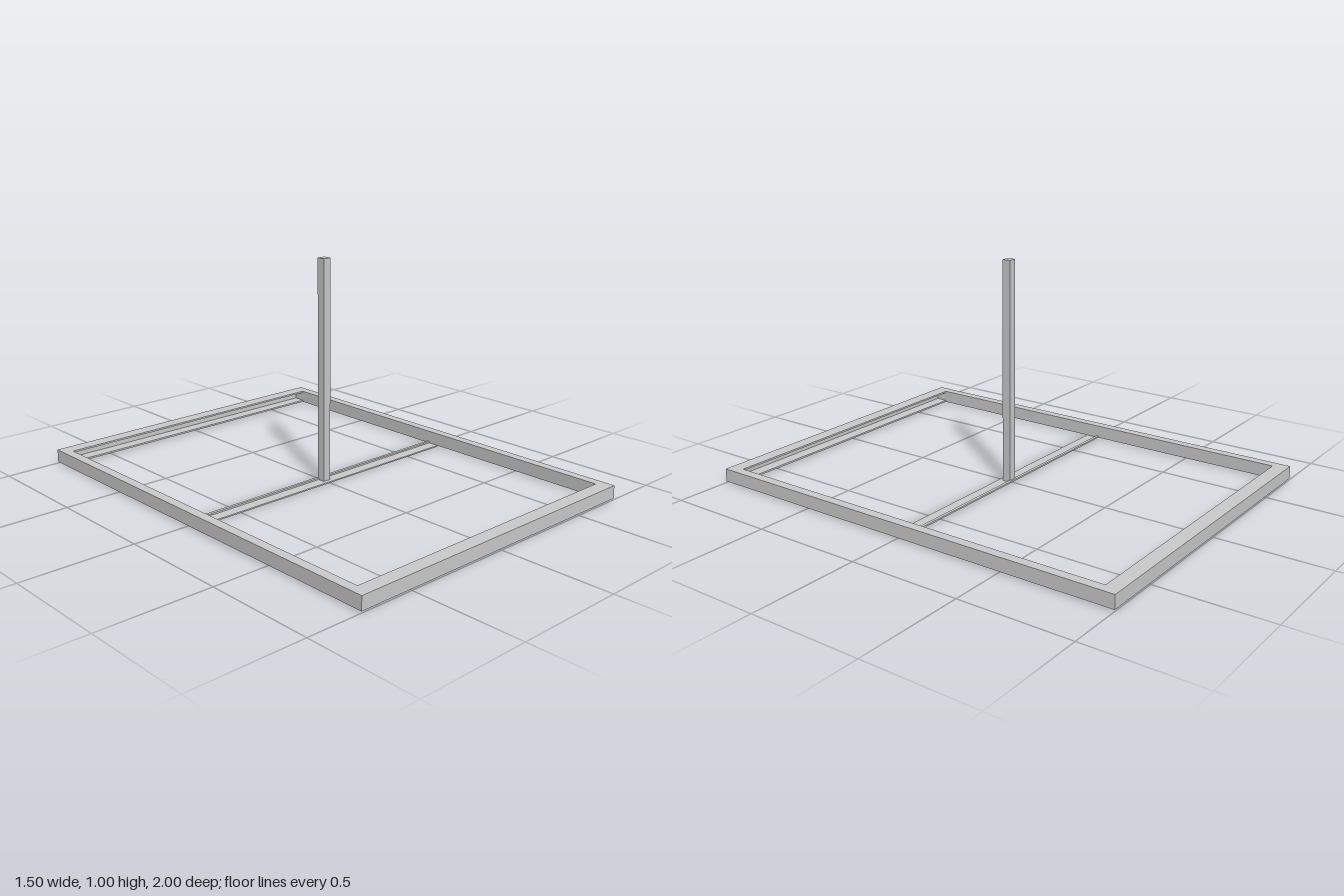
import * as THREE from 'three';

const material = new THREE.MeshStandardMaterial({ color: 0xcccccc });

// Box given by its lower and upper limits on each axis
function box(name, [x0, x1], [y0, y1], [z0, z1]) {
  const geometry = new THREE.BoxGeometry(x1 - x0, y1 - y0, z1 - z0);
  geometry.translate((x0 + x1) / 2, (y0 + y1) / 2, (z0 + z1) / 2);
  const mesh = new THREE.Mesh(geometry, material);
  mesh.name = name;
  return mesh;
}

// Channel running along x, web outside at +z, open towards the centre
function channel(name, length, y0, y1, zIn, zOut, t) {
  const shape = new THREE.Shape([
    [zOut, y0], [zOut, y1], [zIn, y1], [zIn, y1 - t],
    [zOut - t, y1 - t], [zOut - t, y0 + t], [zIn, y0 + t], [zIn, y0],
  ].map(([z, y]) => new THREE.Vector2(-z, y)));
  const geometry = new THREE.ExtrudeGeometry(shape, { depth: length, bevelEnabled: false });
  geometry.translate(0, 0, -length / 2).rotateY(Math.PI / 2);
  const mesh = new THREE.Mesh(geometry, material);
  mesh.name = name;
  return mesh;
}

export function createModel() {
  const group = new THREE.Group();
  group.name = 'postOnFrame';
  const bottom = 0.006, top = 0.065, inner = 0.707, outer = 0.75;

  // Long side rails
  group.add(box('leftRail', [inner, outer], [bottom, top], [-1, 1]));
  group.add(box('rightRail', [-outer, -inner], [bottom, top], [-1, 1]));

  // Front and back channels between the rails
  const front = channel('frontChannel', inner * 2, bottom, top, 0.935, 1, 0.008);
  const back = front.clone();
  back.name = 'backChannel';
  back.rotation.y = Math.PI;
  group.add(front, back);

  // Thin crossbar with a raised strip along its back edge
  const crossbar = new THREE.Group();
  crossbar.name = 'crossbar';
  crossbar.add(box('crossbarPlate', [-inner, inner], [0, 0.006], [-0.018, 0.038]));
  crossbar.add(box('crossbarStrip', [-inner, inner], [0.006, 0.013], [-0.028, -0.014]));
  group.add(crossbar);

  // Upright post
  group.add(box('post', [-0.019, 0.019], [0.003, 1], [-0.019, 0.019]));
  return group;
}
